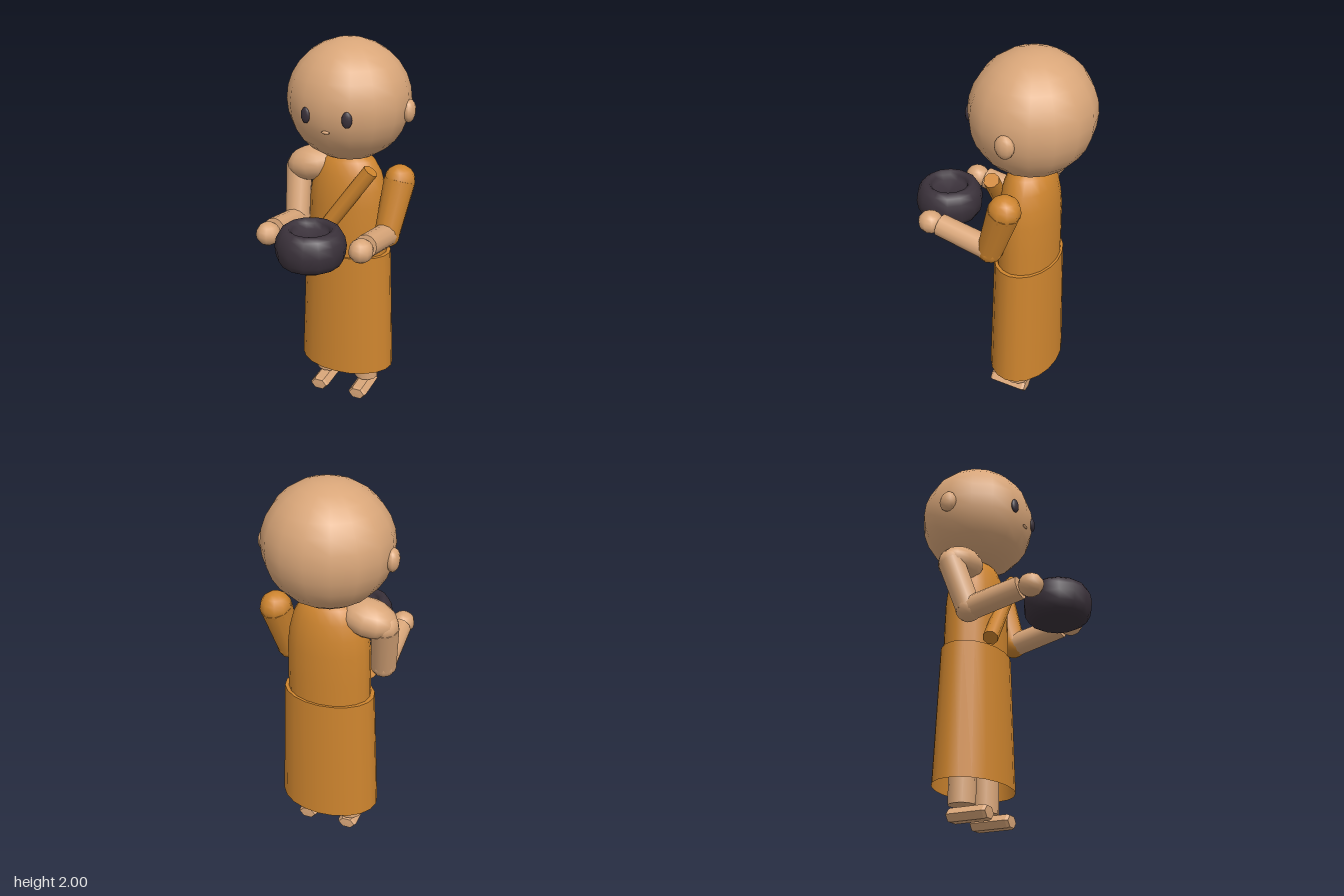
import * as THREE from 'three';

const CX = -0.008; // body axis
const CZ = -0.168;

const material = (name, color, side = THREE.FrontSide) => {
  const m = new THREE.MeshStandardMaterial({ color, side });
  m.name = name;
  return m;
};

export function createModel() {
  const skin = material('skin', 0xd9a679);
  const robe = material('orangeCloth', 0xcd842e, THREE.DoubleSide);
  const dark = material('darkClay', 0x3a313a);

  const model = new THREE.Group();
  model.name = 'monk';
  const body = new THREE.Group();
  body.name = 'body';
  body.position.x = CX;
  model.add(body);

  const add = (name, geometry, mat, x = 0, y = 0, z = 0) => {
    const mesh = new THREE.Mesh(geometry, mat);
    mesh.name = name;
    mesh.position.set(x, y, z);
    body.add(mesh);
    return mesh;
  };

  // Ellipsoid from a unit sphere
  const ball = (name, mat, [x, y, z], [rx, ry, rz], w = 12, h = 8) =>
    add(name, new THREE.SphereGeometry(1, w, h).scale(rx, ry, rz), mat, x, y, z);

  // Tapered cylinder running from point a to point b
  const limb = (name, mat, a, b, ra, rb, sides = 12) => {
    const from = new THREE.Vector3(...a), to = new THREE.Vector3(...b);
    const dir = to.clone().sub(from);
    const mid = from.clone().add(to).multiplyScalar(0.5);
    const mesh = add(name, new THREE.CylinderGeometry(rb, ra, dir.length(), sides), mat, mid.x, mid.y, mid.z);
    mesh.quaternion.setFromUnitVectors(new THREE.Vector3(0, 1, 0), dir.normalize());
    return mesh;
  };

  const lathe = (points, sides) =>
    new THREE.LatheGeometry(points.map(([r, y]) => new THREE.Vector2(r, y)), sides);

  // Head and face
  ball('head', skin, [0, 1.693, -0.17], [0.317, 0.307, 0.305], 16, 14);
  ball('mouth', skin, [0, 1.598, 0.122], [0.023, 0.008, 0.008], 8, 6);
  for (const [side, s] of [['left', 1], ['right', -1]]) {
    ball(side + 'Ear', skin, [s * 0.315, 1.663, -0.18], [0.032, 0.058, 0.048], 10, 8);
    const eye = ball(side + 'Eye', dark, [s * 0.108, 1.67, 0.115], [0.026, 0.04, 0.014], 12, 8);
    eye.rotation.y = s * 0.25;
  }

  // Robe: rounded torso and open skirt, both oval in plan
  add('torso', lathe([
    [0.217, 0.84], [0.216, 1.0], [0.212, 1.15], [0.2, 1.24],
    [0.178, 1.32], [0.14, 1.385], [0.08, 1.42], [0, 1.43],
  ], 20).scale(1, 1, 0.7), robe, 0, 0, CZ);
  add('skirt', lathe([[0.267, 0.18], [0.238, 0.88]], 20).scale(1, 1, 0.685), robe, 0, 0, CZ);
  add('waistRim', lathe([[0.238, 0.88], [0.2, 0.88]], 20).scale(1, 1, 0.685), robe, 0, 0, CZ);

  // Sash across the chest
  limb('sash', robe, [-0.167, 0.89, 0.003], [0.173, 1.375, -0.04], 0.04, 0.04, 8);

  // Arms: the left sleeve is cloth, the right arm is bare
  for (const [side, s, mat] of [['left', 1, robe], ['right', -1, skin]]) {
    const shoulder = [s * 0.283, 1.3, -0.165];
    const elbow = [s * 0.255, 1.03, -0.075];
    const wrist = [s * 0.25, 1.083, 0.21];
    const r = s > 0 ? 0.082 : 0.07;
    ball(side + 'ShoulderJoint', mat, shoulder, [r, r, r], 10, 8);
    limb(side + 'UpperArm', mat, shoulder, elbow, r, 0.066);
    ball(side + 'Elbow', mat, elbow, [0.068, 0.068, 0.068], 10, 8);
    limb(side + 'Forearm', skin, elbow, wrist, 0.062, 0.059);
    ball(side + 'Hand', skin, [s * 0.25, 1.085, 0.267], [0.062, 0.06, 0.065], 10, 8);
  }
  const bareShoulder = ball('bareShoulder', skin, [-0.2, 1.33, -0.16], [0.145, 0.092, 0.11], 12, 10);
  bareShoulder.rotation.z = 0.2;

  // Legs and faceted feet
  const faceted = lathe([[0, -0.105], [0.85, -0.104], [1, -0.09], [1, 0.09], [0.85, 0.104], [0, 0.105]], 6)
    .rotateX(Math.PI / 2).rotateZ(Math.PI / 2).scale(0.053, 0.038, 1).toNonIndexed();
  faceted.computeVertexNormals();
  for (const [side, s] of [['left', 1], ['right', -1]]) {
    limb(side + 'Leg', skin, [s * 0.117, 0.082, CZ], [s * 0.117, 0.6, CZ], 0.067, 0.07);
    add(side + 'Foot', faceted, skin, s * 0.117, 0.036, -0.125);
  }

  // Alms bowl with a shallow hollow
  add('bowl', lathe([
    [0, 0.972], [0.115, 0.975], [0.15, 0.995], [0.17, 1.03], [0.176, 1.08],
    [0.168, 1.125], [0.15, 1.158], [0.128, 1.175], [0.108, 1.173], [0.095, 1.158],
    [0.088, 1.13], [0, 1.12],
  ], 14).rotateY(Math.PI / 2), dark, 0, 0, 0.3);

  return model;
}
